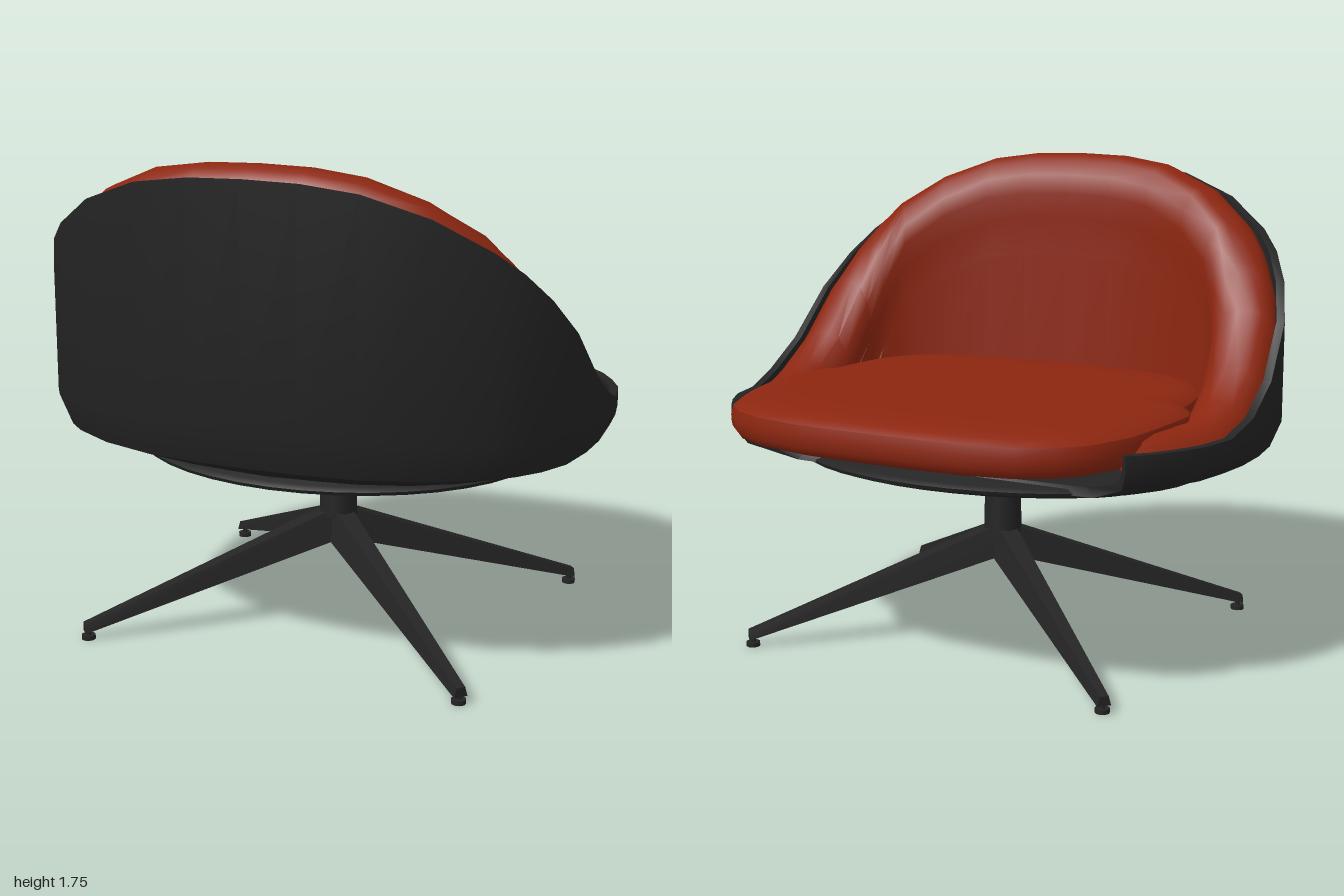
import * as THREE from 'three';
import { toCreasedNormals } from 'three/addons/utils/BufferGeometryUtils.js';

const { lerp } = THREE.MathUtils;

// Skin a list of rows, each row an equal-length list of [x, y, z]
function loft(rows, closed = false) {
  const n = rows[0].length, index = [];
  for (let r = 0; r < rows.length - 1; r++) {
    for (let i = 0; i < (closed ? n : n - 1); i++) {
      const j = (i + 1) % n, a = r * n, b = a + n;
      index.push(a + i, a + j, b + j, a + i, b + j, b + i);
    }
  }
  const g = new THREE.BufferGeometry();
  g.setAttribute('position', new THREE.Float32BufferAttribute(rows.flat(2), 3));
  g.setIndex(index);
  return toCreasedNormals(g, 0.75);
}

// Mirror a half outline (+x side, front to back) into a full one
function mirror(half, dropEnds = 0) {
  const other = half.slice(dropEnds, -1).reverse().map(([x, z]) => [-x, z]);
  return [...half, ...other];
}

// Plan of the shell, open at the front (-z)
const plan = mirror([
  [0.77, -0.55], [0.84, -0.48], [0.9, -0.39], [0.95, -0.29], [0.98, -0.15], [1, 0], [1, 0.17],
  [0.98, 0.35], [0.93, 0.475], [0.865, 0.57], [0.79, 0.64], [0.62, 0.745], [0.4, 0.82],
  [0.2, 0.845], [0, 0.85],
]);

// Move the plan inwards along its normals
function inset(d) {
  return plan.map(([x, z], i) => {
    const p = plan[Math.max(i - 1, 0)], q = plan[Math.min(i + 1, plan.length - 1)];
    const tx = q[0] - p[0], tz = q[1] - p[1], l = Math.hypot(tx, tz);
    return [x - (tz / l) * d, z + (tx / l) * d];
  });
}

// Height of the shell rim at a given depth
function rim(z) {
  if (z > 0.17) return 1.02 + (z - 0.17) * 1.015;
  if (z > -0.07) return lerp(0.88, 1.02, (z + 0.07) / 0.24);
  return 0.875;
}

function makeShell() {
  const lowY = (z) => 0.81 + 0.08 * Math.max(0, z / 0.85);
  // [thickness, scale of x, scale of z, height]
  const rowSpecs = [
    [0.03, 0, 0.76, () => 0.71],
    [0.03, 0.76, 0.76, () => 0.715],
    [0.03, 0.95, 0.94, () => 0.765],
    [0.03, 1, 1, lowY],
    [0.03, 1, 1, rim],
    [0, 1, 1, rim],
    [0, 1, 1, lowY],
    [0, 0.965, 0.94, () => 0.75],
    [0, 0.77, 0.76, () => 0.685],
    [0, 0, 0.76, () => 0.68],
  ];
  const outerTwin = [9, 8, 7, 6, 5, 5, 6, 7, 8, 9];
  const make = ([d, sx, sz, y]) => inset(d).map(([x, z], i) => [x * sx, y(plan[i][1]), z * sz]);
  const rows = rowSpecs.map(make);
  // End columns meet the outer skin, closing the front edges
  const closedRows = rows.map((row, r) => {
    const t = rows[outerTwin[r]];
    return [t[0], ...row, t[t.length - 1]];
  });
  return loft(closedRows);
}

function makeLining() {
  // [inset, offset from rim], from the back panel over the padded roll to the shell
  const section = [
    [0.28, -2], [0.265, -0.35], [0.26, -0.2], [0.265, -0.11], [0.25, -0.04], [0.215, 0.015],
    [0.17, 0.035], [0.12, 0.038], [0.08, 0.025], [0.05, -0.005], [0.03, -0.06],
  ];
  return loft(section.map(([d, dy]) => {
    const row = inset(d).map(([x, z], i) => [x, Math.max(0.84, rim(plan[i][1]) + dy), z]);
    const drop = ([x, , z]) => [x, 0.82, z];
    return [drop(row[0]), ...row, drop(row[row.length - 1])];
  }));
}

function makeCushion() {
  const outline = mirror([
    [0, -0.855], [0.18, -0.852], [0.33, -0.845], [0.5, -0.81], [0.62, -0.75], [0.7, -0.67],
    [0.77, -0.5], [0.795, -0.3], [0.81, -0.1], [0.79, -0.03], [0.74, 0.02], [0.73, 0.12],
    [0.7, 0.3], [0.62, 0.44], [0.5, 0.52], [0.3, 0.565], [0, 0.575],
  ], 1);
  const zc = -0.14;
  // [height, scale] from the top centre down to the underside
  const levels = [
    [0.957, 0], [0.957, 0.6], [0.954, 0.88], [0.945, 0.95], [0.925, 0.99], [0.89, 1],
    [0.85, 0.995], [0.825, 0.975], [0.81, 0.92], [0.81, 0],
  ];
  return loft(levels.map(([y, s]) => outline.map(([x, z]) => [x * s, y, zc + (z - zc) * s])), true);
}

// Tapered arm along +x with a narrower top face
function makeLeg() {
  const g = new THREE.BoxGeometry(1, 1, 1);
  const p = g.attributes.position;
  for (let i = 0; i < p.count; i++) {
    const t = p.getX(i) + 0.5, top = p.getY(i) > 0;
    const y = top ? lerp(0.42, 0.06, t) : lerp(0.3, 0.027, t);
    p.setXYZ(i, t * 0.96, y, p.getZ(i) * lerp(0.11, 0.05, t) * (top ? 0.65 : 1));
  }
  g.computeVertexNormals();
  return g;
}

export function createModel() {
  const model = new THREE.Group();
  model.name = 'loungeChair';
  const red = new THREE.MeshStandardMaterial({ color: 0x8c2610, side: THREE.DoubleSide });
  red.name = 'red upholstery';
  const black = new THREE.MeshStandardMaterial({ color: 0x242424, side: THREE.DoubleSide });
  black.name = 'black shell';

  const add = (name, geometry, material, parent = model) => {
    const mesh = new THREE.Mesh(geometry, material);
    mesh.name = name;
    parent.add(mesh);
    return mesh;
  };

  add('shell', makeShell(), black);
  add('backLining', makeLining(), red);
  add('seatCushion', makeCushion(), red);

  // Tilted oval plate under the shell
  const profile = [[0, 0], [0.7, 0], [0.92, 0.008], [0.99, 0.022], [1, 0.035], [0.97, 0.048], [0, 0.052]];
  const plate = add('underPlate', toCreasedNormals(
    new THREE.LatheGeometry(profile.map(([x, y]) => new THREE.Vector2(x, y)), 40), 0.6), black);
  plate.scale.set(0.77, 1, 0.615);
  plate.rotation.x = 0.04;
  plate.position.set(0, 0.637, 0.035);

  // Swivel base
  const base = new THREE.Group();
  base.name = 'base';
  base.position.z = 0.06;
  model.add(base);
  add('column', new THREE.CylinderGeometry(0.065, 0.07, 0.29, 24), black, base).position.y = 0.525;

  const legGeometry = makeLeg();
  const footGeometry = new THREE.CylinderGeometry(0.025, 0.025, 0.016, 16);
  const stemGeometry = new THREE.CylinderGeometry(0.01, 0.01, 0.03, 8);
  const spread = Math.atan2(0.63, 0.71);
  for (const angle of [spread, Math.PI - spread, Math.PI + spread, -spread]) {
    const leg = new THREE.Group();
    leg.name = 'leg';
    leg.rotation.y = angle;
    base.add(leg);
    add('legArm', legGeometry, black, leg);
    add('foot', footGeometry, black, leg).position.set(0.945, 0.008, 0);
    add('footStem', stemGeometry, black, leg).position.set(0.945, 0.025, 0);
  }
  return model;
}
